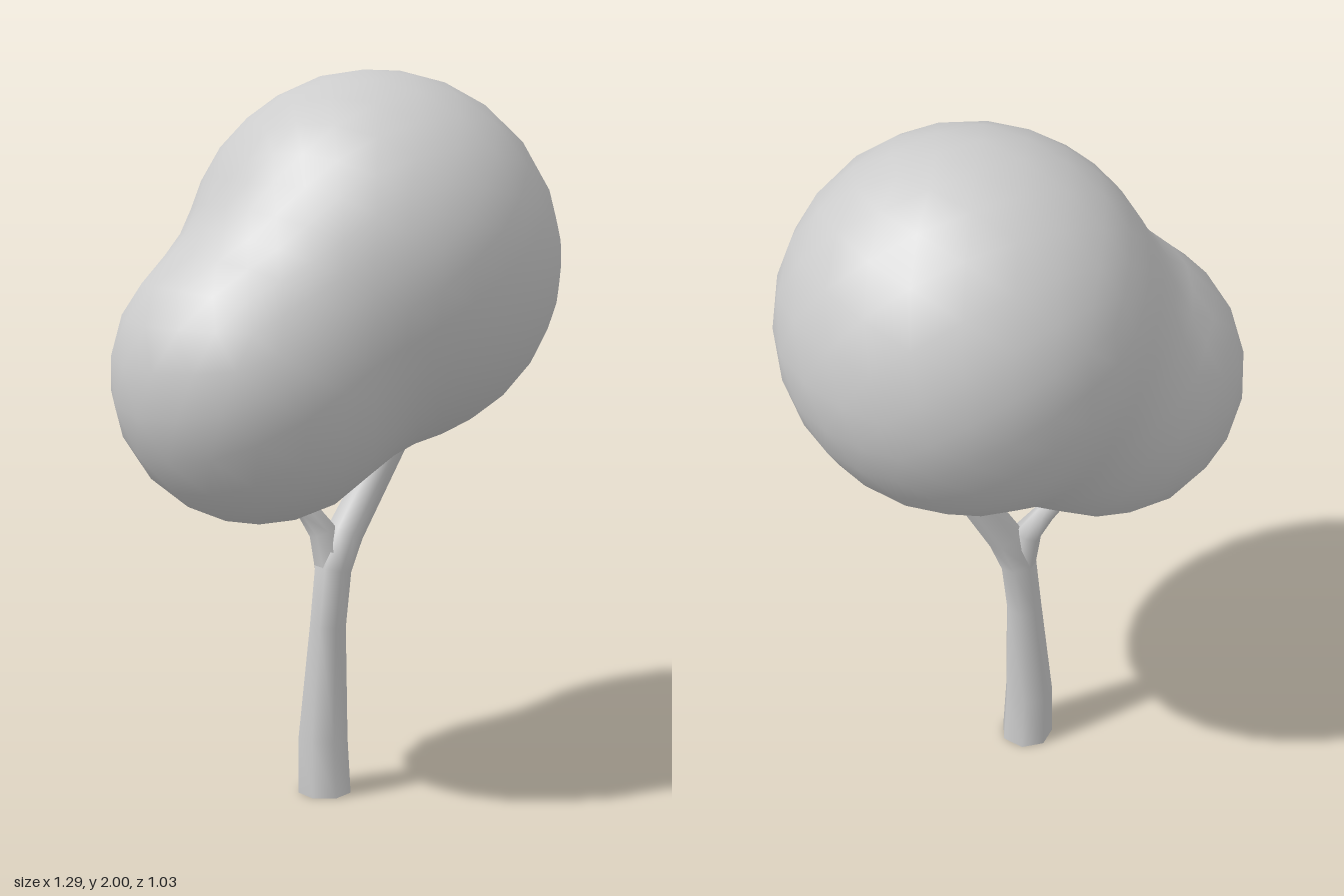
import * as THREE from 'three';
import { mergeVertices } from 'three/addons/utils/BufferGeometryUtils.js';

const V = (x, y, z) => new THREE.Vector3(x, y, z);

// Tapered limb through stations [x, y, z, radius], capped at both ends
function limbGeometry(stations, sides = 7) {
  const pts = stations.map(([x, y, z]) => V(x, y, z));
  const pos = [], index = [];
  const rings = pts.map((p, i) => {
    const t = pts[Math.min(i + 1, pts.length - 1)].clone().sub(pts[Math.max(i - 1, 0)]).normalize();
    if (p.y === 0) t.set(0, 1, 0);
    const u = t.clone().cross(V(0, 0, 1)).normalize();
    const v = t.clone().cross(u);
    return Array.from({ length: sides }, (_, k) => {
      const a = (k / sides) * Math.PI * 2, r = stations[i][3];
      return p.clone().addScaledVector(u, r * Math.cos(a)).addScaledVector(v, r * Math.sin(a));
    });
  });
  const add = (p) => pos.push(p.x, p.y, p.z) / 3 - 1;
  rings.forEach((ring) => ring.forEach(add));
  for (let i = 0; i < rings.length - 1; i++) {
    for (let k = 0; k < sides; k++) {
      const a = i * sides + k, b = i * sides + (k + 1) % sides;
      index.push(a, b, a + sides, b, b + sides, a + sides);
    }
  }
  // Separate cap vertices keep the end edges sharp
  const cap = (ring, centre, top) => {
    const c = add(centre), first = pos.length / 3;
    ring.forEach(add);
    for (let k = 0; k < sides; k++) {
      const a = first + k, b = first + (k + 1) % sides;
      index.push(c, top ? a : b, top ? b : a);
    }
  };
  cap(rings[0], pts[0], false);
  cap(rings[rings.length - 1], pts[pts.length - 1], true);
  const g = new THREE.BufferGeometry();
  g.setAttribute('position', new THREE.Float32BufferAttribute(pos, 3));
  g.setIndex(index);
  g.computeVertexNormals();
  return g;
}

// Two round masses melted together, reached by rays from a shared centre
function crownGeometry() {
  const big = V(0.135, 1.487, 0), small = V(-0.255, 1.205, 0), centre = V(-0.03, 1.37, 0);
  const distance = (p) => {
    const a = p.distanceTo(big) - 0.515, b = p.distanceTo(small) - 0.398, k = 0.13;
    const h = Math.max(k - Math.abs(a - b), 0) / k;
    return Math.min(a, b) - h * h * k * 0.25;
  };
  let g = new THREE.IcosahedronGeometry(1, 5);
  g.deleteAttribute('normal');
  g.deleteAttribute('uv');
  g = mergeVertices(g, 1e-4);
  const pos = g.attributes.position, dir = V(0, 0, 0), p = V(0, 0, 0);
  for (let i = 0; i < pos.count; i++) {
    dir.fromBufferAttribute(pos, i).normalize();
    let near = 0, far = 1.5;
    for (let n = 0; n < 24; n++) {
      const mid = (near + far) / 2;
      if (distance(p.copy(centre).addScaledVector(dir, mid)) < 0) near = mid;
      else far = mid;
    }
    p.copy(centre).addScaledVector(dir, near);
    pos.setXYZ(i, p.x, p.y, p.z);
  }
  g.computeVertexNormals();
  return g;
}

export function createModel() {
  const group = new THREE.Group();
  group.name = 'tree';
  const grey = new THREE.MeshStandardMaterial({ color: 0xcccccc });
  grey.name = 'plain grey';

  const add = (name, geometry) => {
    const mesh = new THREE.Mesh(geometry, grey);
    mesh.name = name;
    group.add(mesh);
  };

  // Trunk bending into the main branch
  add('trunk', limbGeometry([
    [-0.035, 0, 0, 0.075], [-0.04, 0.16, 0, 0.07], [-0.025, 0.48, 0.003, 0.051],
    [-0.008, 0.64, 0.005, 0.052], [0.03, 0.74, 0.012, 0.052], [0.175, 0.99, 0.04, 0.045],
  ]));
  // Thinner branch leaning to the other side and back
  add('sideBranch', limbGeometry([
    [-0.012, 0.64, 0, 0.045], [-0.03, 0.745, -0.012, 0.04],
    [-0.07, 0.81, -0.035, 0.03], [-0.125, 0.88, -0.055, 0.027],
  ]));
  add('crown', crownGeometry());
  return group;
}
